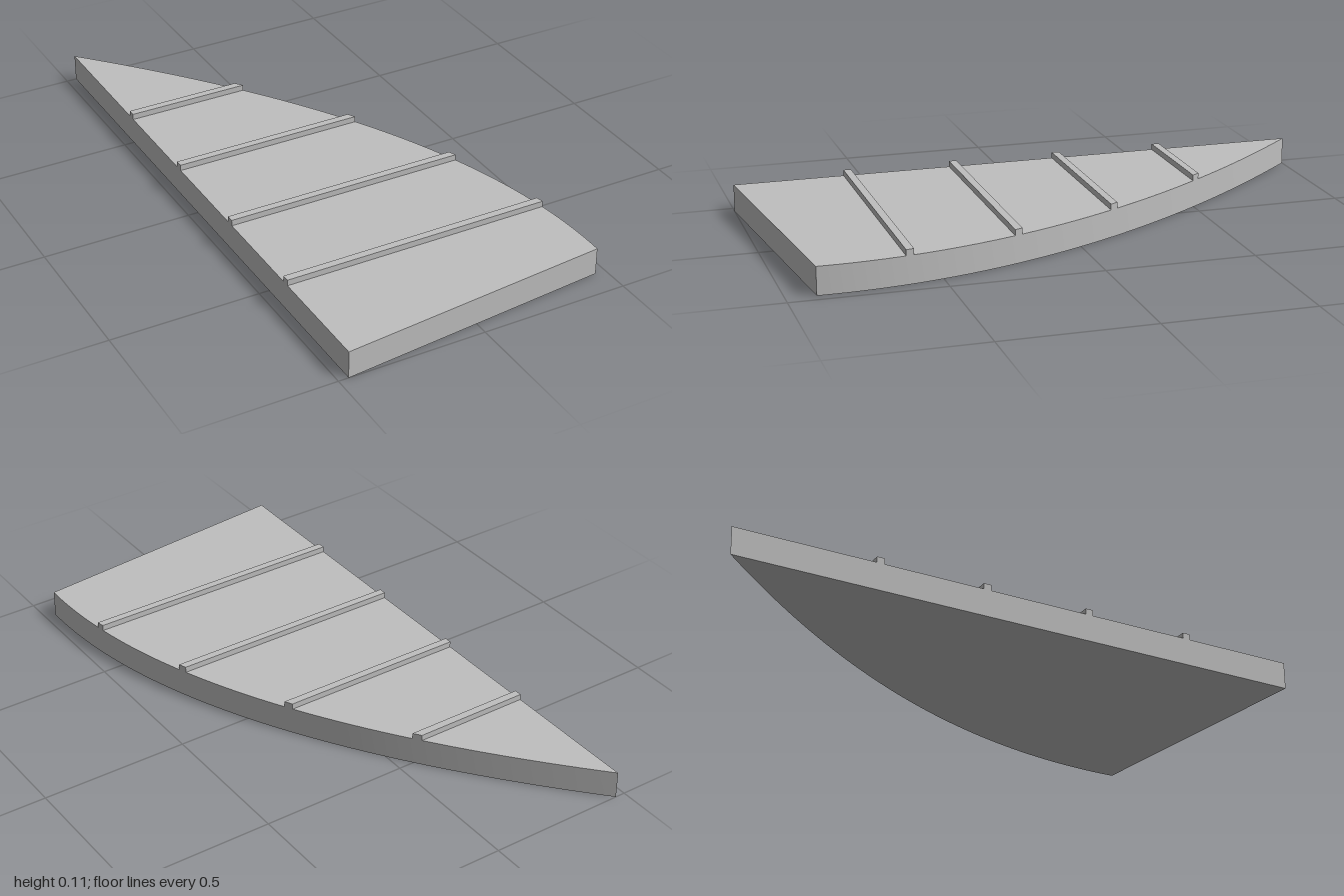
import * as THREE from 'three';
import { toCreasedNormals } from 'three/addons/utils/BufferGeometryUtils.js';

const LEFT = -0.466, SLAB_TOP = 0.093, RIB_TOP = 0.113, RIB_WIDTH = 0.026;

// Curved outer edge in plan, as (x, z) from the back tip to the front corner
const edge = new THREE.QuadraticBezierCurve(
  new THREE.Vector2(LEFT, -1),
  new THREE.Vector2(0.49, 0.03),
  new THREE.Vector2(0.464, 0.904)
);

// Parameter of the point on the curved edge at a given z
function edgeParam(z) {
  let lo = 0, hi = 1;
  for (let i = 0; i < 40; i++) {
    const mid = (lo + hi) / 2;
    if (edge.getPoint(mid).y < z) lo = mid; else hi = mid;
  }
  return lo;
}

// Extrude a plan outline of (x, z) points upward from y0 to y1
function planExtrude(points, y0, y1) {
  const shape = new THREE.Shape(points.map(p => new THREE.Vector2(p.x, -p.y)));
  const geo = new THREE.ExtrudeGeometry(shape, { depth: y1 - y0, bevelEnabled: false });
  geo.rotateX(-Math.PI / 2);
  geo.translate(0, y0, 0);
  return toCreasedNormals(geo, 0.4);
}

export function createModel() {
  const group = new THREE.Group();
  group.name = 'ribbedPanel';
  const grey = new THREE.MeshStandardMaterial({ color: 0xbfbfbf });
  grey.name = 'grey';

  const add = (name, geo) => {
    const mesh = new THREE.Mesh(geo, grey);
    mesh.name = name;
    group.add(mesh);
  };

  // Slab with one straight side, a slanted front and a curved edge
  add('slab', planExtrude([...edge.getPoints(48), new THREE.Vector2(LEFT, 1)], 0, SLAB_TOP));

  // Four ribs across the top, trimmed to the curved edge
  for (let i = 0; i < 4; i++) {
    const z0 = -0.521 + i * 0.3725, z1 = z0 + RIB_WIDTH;
    const t0 = edgeParam(z0), t1 = edgeParam(z1);
    const end = [0, 0.5, 1].map(k => edge.getPoint(t0 + (t1 - t0) * k));
    const outline = [new THREE.Vector2(LEFT, z0), ...end, new THREE.Vector2(LEFT, z1)];
    add('rib' + (i + 1), planExtrude(outline, SLAB_TOP, RIB_TOP));
  }
  return group;
}
